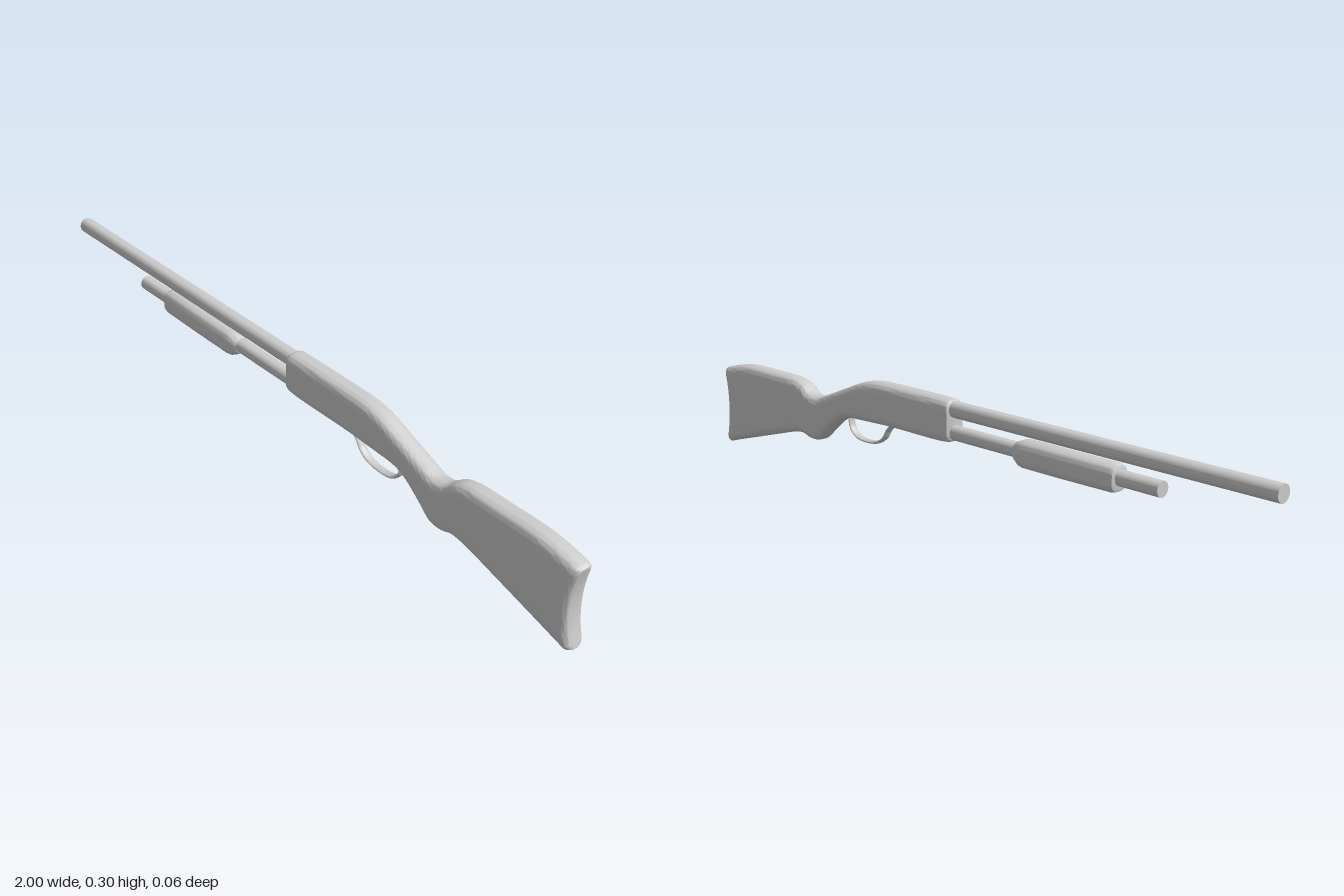
import * as THREE from 'three';
import { toCreasedNormals } from 'three/addons/utils/BufferGeometryUtils.js';

const material = new THREE.MeshStandardMaterial({ color: 0xcccccc, side: THREE.DoubleSide });

// Rounded-rectangle section at x, between bottom and top; the sides are
// subdivided so the butt can be bowed inwards.
function section(x, bottom, top, halfWidth, radius, bow = 0) {
  const r = Math.min(radius, (top - bottom) / 2 - 0.001);
  const rz = Math.min(r, halfWidth);
  const mid = (top + bottom) / 2, half = (top - bottom) / 2;
  const pts = [];
  const add = (z, y) => pts.push([x - bow * (1 - ((y - mid) / half) ** 2), y, z]);
  for (let c = 0; c < 4; c++) {
    const sz = c === 0 || c === 3 ? 1 : -1, sy = c < 2 ? 1 : -1;
    for (let k = 0; k <= 6; k++) {
      const a = (c + k / 6) * Math.PI / 2;
      add(sz * (halfWidth - rz) + Math.cos(a) * rz, mid + sy * (half - r) + Math.sin(a) * r);
    }
    if (c % 2) {
      for (let k = 1; k < 8; k++) add(sz * halfWidth, mid + sy * (half - r) * (1 - k / 4));
    }
  }
  return pts;
}

// Skin a list of sections running along +x, closing each end on its centre plane.
function loft(rings) {
  const flat = (ring) => ring.map(([x, y]) => [x, y, 0]);
  const all = [flat(rings[0]), ...rings, flat(rings[rings.length - 1])];
  const n = rings[0].length, index = [];
  for (let i = 0; i < all.length - 1; i++) {
    for (let j = 0; j < n; j++) {
      const a = i * n + j, b = i * n + (j + 1) % n;
      index.push(a, a + n, b, b, a + n, b + n);
    }
  }
  const geometry = new THREE.BufferGeometry();
  geometry.setAttribute('position', new THREE.Float32BufferAttribute(all.flat(2), 3));
  geometry.setIndex(index);
  return toCreasedNormals(geometry, 0.7);
}

function createStockGeometry() {
  // x, bottom, top along the receiver, grip and butt
  const outline = [
    [0.012, 0.193, 0.305], [0.05, 0.19, 0.306], [0.25, 0.19, 0.306], [0.3, 0.188, 0.304],
    [0.355, 0.186, 0.294], [0.42, 0.181, 0.269], [0.46, 0.165, 0.253], [0.515, 0.123, 0.231],
    [0.55, 0.094, 0.219], [0.585, 0.091, 0.223], [0.62, 0.1, 0.246], [0.66, 0.096, 0.256],
    [0.757, 0.07, 0.258], [0.87, 0.038, 0.258], [0.93, 0.021, 0.251], [0.98, 0.007, 0.24],
  ];
  const curve = new THREE.CatmullRomCurve3(outline.map((p) => new THREE.Vector3(...p)));
  const bowAt = (x) => 0.017 * THREE.MathUtils.smoothstep(x, 0.88, 0.99);
  // softened front face
  const rings = [
    section(0.002, 0.201, 0.297, 0.023, 0.018),
    section(0.005, 0.196, 0.302, 0.028, 0.021),
  ];
  for (let i = 0; i <= 72; i++) {
    const p = curve.getPoint(i / 72);
    rings.push(section(p.x, p.y, p.z, 0.03, 0.022, bowAt(p.x)));
  }
  // rounded rim of the butt
  for (let k = 1; k <= 5; k++) {
    const a = k / 5 * Math.PI / 2, inset = 0.012 * (1 - Math.cos(a));
    const x = 0.98 + 0.02 * Math.sin(a);
    rings.push(section(x, 0.004 + inset * 0.6, 0.238 - inset * 0.6, 0.03 - inset, 0.021 - inset * 0.5, bowAt(x)));
  }
  return loft(rings);
}

function createForendGeometry() {
  // x, bottom, top, half width
  return loft([
    [-0.555, 0.19, 0.243, 0.022], [-0.552, 0.184, 0.247, 0.027], [-0.54, 0.181, 0.25, 0.029],
    [-0.4, 0.18, 0.25, 0.03], [-0.26, 0.18, 0.25, 0.03], [-0.245, 0.182, 0.248, 0.029],
    [-0.23, 0.189, 0.242, 0.024], [-0.222, 0.195, 0.239, 0.02],
  ].map(([x, b, t, w]) => section(x, b, t, w, 0.021)));
}

export function createModel() {
  const group = new THREE.Group();
  const add = (name, geometry) => {
    const mesh = new THREE.Mesh(geometry, material);
    mesh.name = name;
    group.add(mesh);
    return mesh;
  };
  const rod = (name, x0, x1, y, radius) => {
    const mesh = add(name, toCreasedNormals(new THREE.CylinderGeometry(radius, radius, x1 - x0, 16), 0.7));
    mesh.rotation.z = Math.PI / 2;
    mesh.position.set((x0 + x1) / 2, y, 0);
  };

  add('receiverAndStock', createStockGeometry());
  rod('barrel', -1, 0.03, 0.28, 0.022);
  rod('magazineTube', -0.68, 0.03, 0.218, 0.02);
  add('forend', createForendGeometry());

  // Trigger guard: a flattened bow under the receiver
  const path = new THREE.CatmullRomCurve3([
    [0.24, 0.196], [0.262, 0.176], [0.278, 0.152], [0.305, 0.134], [0.35, 0.127],
    [0.395, 0.134], [0.417, 0.155], [0.424, 0.19],
  ].map(([x, y]) => new THREE.Vector3(x, y, 0)));
  add('triggerGuard', new THREE.TubeGeometry(path, 40, 0.0045, 10)).scale.z = 2.6;

  return group;
}
